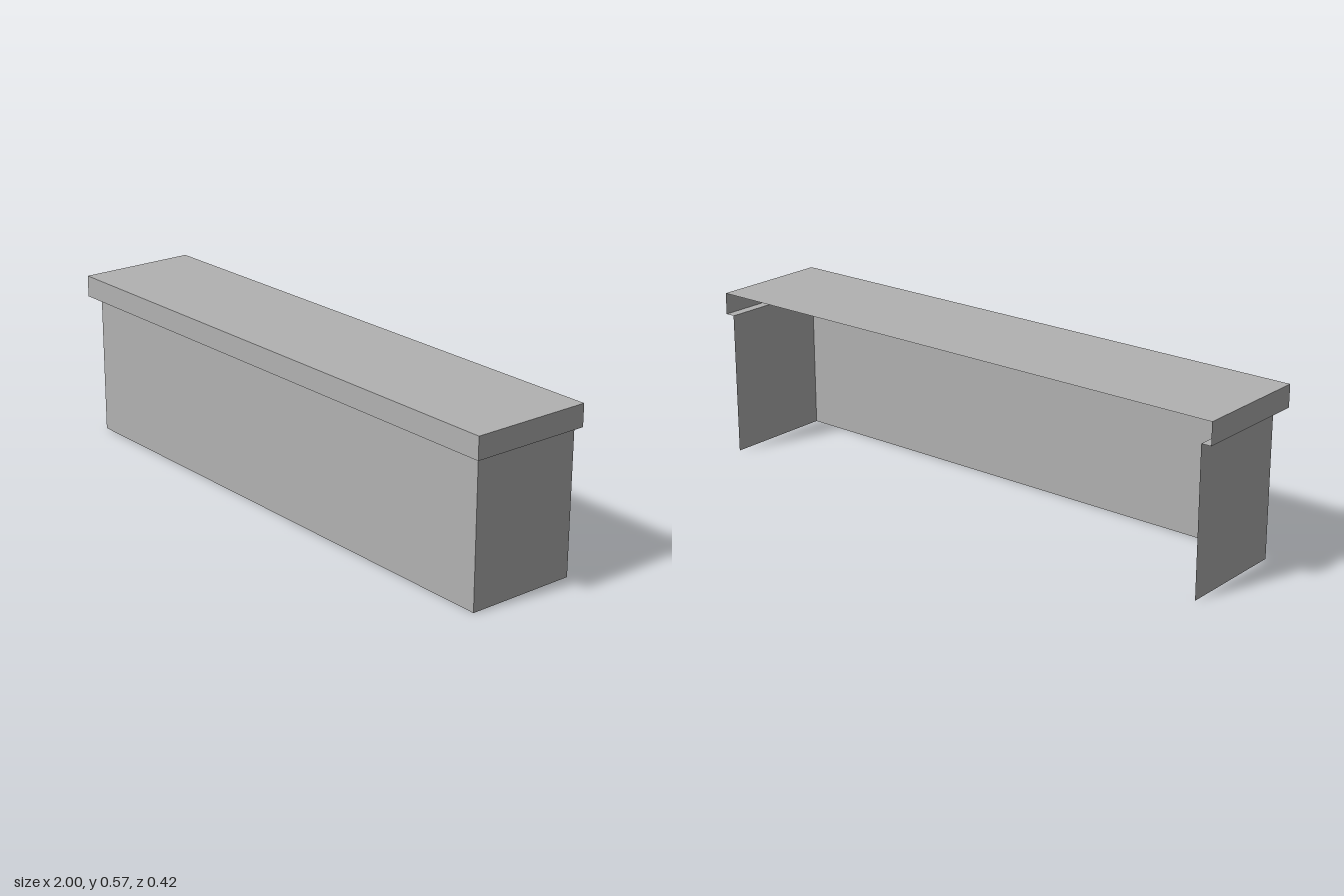
import * as THREE from 'three';

const BACK = -0.211; // the rear is open
const BODY = { x: 0.966, z: 0.178 };
const RIM = { x: 1, z: 0.211 };
const LEDGE_Y = 0.498, TOP_Y = 0.573;

// U-shaped outline: right side, front, left side
const outline = ({ x, z }, y) => [[-x, y, BACK], [-x, y, z], [x, y, z], [x, y, BACK]];

// Flat-faced band joining a lower and an upper outline
function band(lower, upper) {
  const pos = [];
  for (let i = 0; i < lower.length - 1; i++) {
    const [a, b, c, d] = [lower[i], lower[i + 1], upper[i + 1], upper[i]];
    pos.push(...a, ...b, ...c, ...a, ...c, ...d);
  }
  const g = new THREE.BufferGeometry();
  g.setAttribute('position', new THREE.Float32BufferAttribute(pos, 3));
  g.computeVertexNormals();
  return g;
}

export function createModel() {
  const group = new THREE.Group();
  group.name = 'counter';
  const grey = new THREE.MeshStandardMaterial({ color: 0xb2b2b2, side: THREE.DoubleSide });
  grey.name = 'grey';

  const add = (name, geometry) => {
    const mesh = new THREE.Mesh(geometry, grey);
    mesh.name = name;
    group.add(mesh);
    return mesh;
  };

  // Front and side panels
  add('bodyPanels', band(outline(BODY, 0), outline(BODY, LEDGE_Y)));
  // Underside of the overhang
  add('overhangLedge', band(outline(BODY, LEDGE_Y), outline(RIM, LEDGE_Y)));
  // Upright edge of the worktop
  add('worktopEdge', band(outline(RIM, LEDGE_Y), outline(RIM, TOP_Y)));
  // Worktop surface
  const top = new THREE.PlaneGeometry(2 * RIM.x, RIM.z - BACK).rotateX(-Math.PI / 2);
  add('worktop', top).position.set(0, TOP_Y, (RIM.z + BACK) / 2);

  return group;
}
